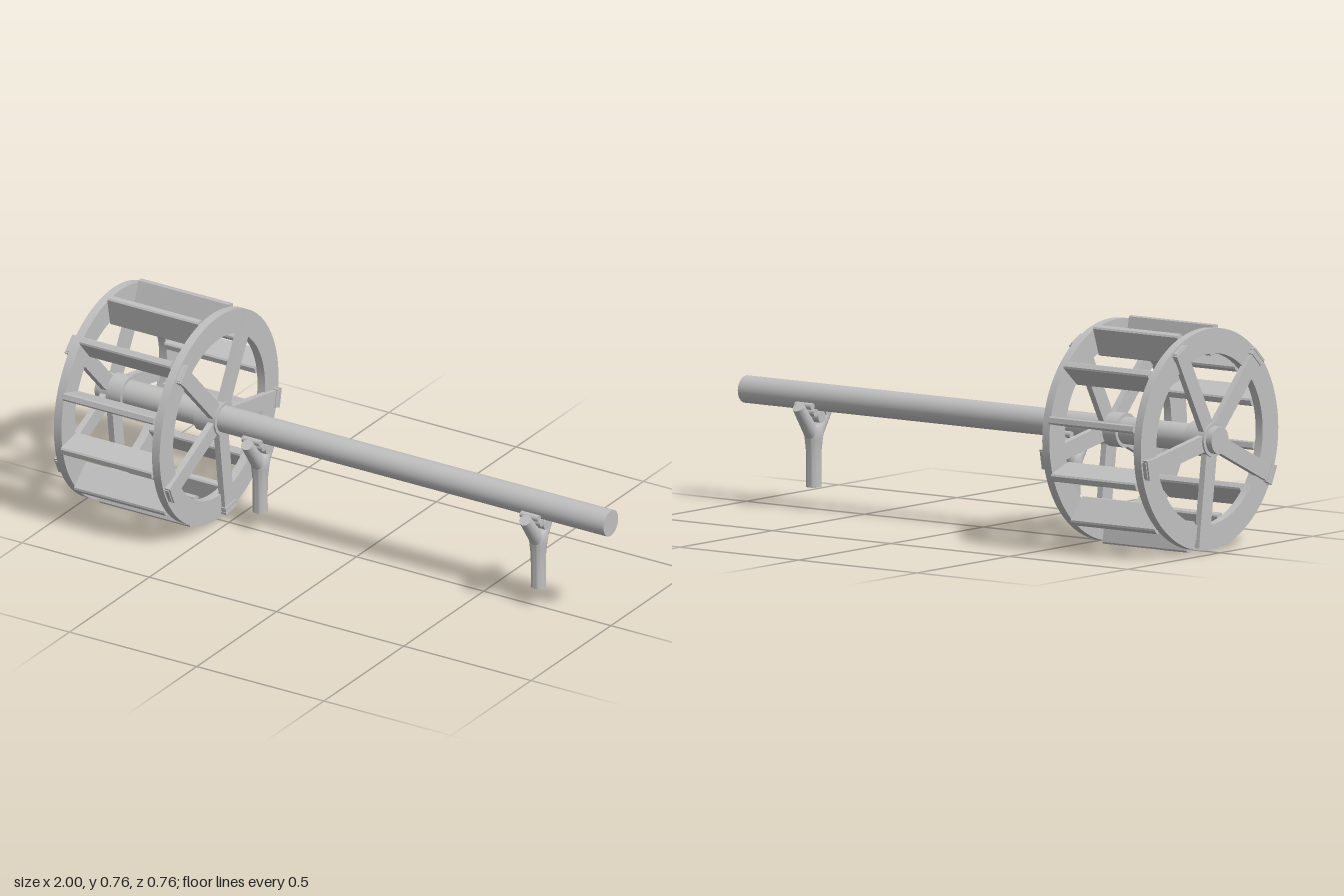
import * as THREE from 'three';
import { toCreasedNormals } from 'three/addons/utils/BufferGeometryUtils.js';

const AXLE_Y = 0.384;
const rad = THREE.MathUtils.degToRad;

export function createModel() {
  const model = new THREE.Group();
  model.name = 'waterWheel';
  const grey = new THREE.MeshStandardMaterial({ color: 0xc0c0c0 });
  grey.name = 'plain grey';

  const add = (parent, name, geometry, x = 0, y = 0, z = 0) => {
    const mesh = new THREE.Mesh(geometry, grey);
    mesh.name = name;
    mesh.position.set(x, y, z);
    parent.add(mesh);
    return mesh;
  };
  const rodX = (radius, length, sides = 32) =>
    new THREE.CylinderGeometry(radius, radius, length, sides).rotateZ(-Math.PI / 2);
  const pivot = (parent, name, degrees) => {
    const g = new THREE.Group();
    g.name = name;
    g.rotation.x = rad(degrees);
    parent.add(g);
    return g;
  };

  // Long axle
  add(model, 'axle', rodX(0.046, 2, 40), 0, AXLE_Y, 0);

  // Wheel, centred on the axle
  const wheel = new THREE.Group();
  wheel.name = 'wheel';
  wheel.position.set(-0.7475, AXLE_Y, 0);
  model.add(wheel);

  // Flat rims
  const rimShape = new THREE.Shape().absarc(0, 0, 0.372, 0, Math.PI * 2, false);
  rimShape.holes.push(new THREE.Path().absarc(0, 0, 0.288, 0, Math.PI * 2, true));
  const rimGeo = toCreasedNormals(
    new THREE.ExtrudeGeometry(rimShape, { depth: 0.03, bevelEnabled: false, curveSegments: 72 })
      .translate(0, 0, -0.015).rotateY(Math.PI / 2), rad(30));
  const hubGeo = rodX(0.058, 0.085);
  const spokeGeo = new THREE.BoxGeometry(0.022, 0.335, 0.056);
  const capGeo = new THREE.BoxGeometry(0.03, 0.022, 0.064);
  const capLipGeo = new THREE.BoxGeometry(0.034, 0.008, 0.068);

  for (const side of [-1, 1]) {
    add(wheel, 'rim', rimGeo, side * 0.193);
    add(wheel, 'hub', hubGeo, side * 0.186);
    // Five spokes laid on the outer face of each rim
    for (let i = 0; i < 5; i++) {
      const spoke = pivot(wheel, 'spoke', 43.5 + i * 72);
      add(spoke, 'spokeBoard', spokeGeo, side * 0.211, 0.1975, 0);
      add(spoke, 'spokeCap', capGeo, side * 0.211, 0.347, 0);
      add(spoke, 'spokeCapLip', capLipGeo, side * 0.211, 0.357, 0);
    }
  }

  // Twelve radial paddles with slightly chamfered edges
  const w = 0.0135, h = 0.053, c = 0.005;
  const paddleShape = new THREE.Shape([
    [-w, -h + c], [-w + c, -h], [w - c, -h], [w, -h + c],
    [w, h - c], [w - c, h], [-w + c, h], [-w, h - c],
  ].map(([x, y]) => new THREE.Vector2(x, y)));
  const paddleGeo = new THREE.ExtrudeGeometry(paddleShape, { depth: 0.356, bevelEnabled: false })
    .translate(0, 0, -0.178).rotateY(Math.PI / 2);
  for (let i = 0; i < 12; i++) {
    add(pivot(wheel, 'paddle', 11 + i * 30), 'paddleBoard', paddleGeo, 0, 0.33, 0);
  }

  // Forked posts carrying the axle on small rollers
  const trunkGeo = new THREE.LatheGeometry([
    [0, 0.08], [0.0255, 0.08], [0.0255, 0.08], [0.025, 0.14], [0.026, 0.2],
    [0.03, 0.24], [0.034, 0.268], [0.028, 0.285], [0, 0.293],
  ].map(([r, y]) => new THREE.Vector2(r, y)), 28);
  const trunk = toCreasedNormals(trunkGeo, rad(40));
  const from = new THREE.Vector3(0, 0.26, 0.01);
  const to = new THREE.Vector3(0, 0.357, 0.083);
  const branchDir = to.clone().sub(from);
  const branchGeo = new THREE.CylinderGeometry(0.021, 0.026, branchDir.length(), 24);

  for (const x of [-0.378, 0.715]) {
    const post = new THREE.Group();
    post.name = 'forkedPost';
    post.position.x = x;
    model.add(post);
    add(post, 'trunk', trunk);
    add(post, 'lowerRoller', rodX(0.02, 0.07, 24), 0, 0.318, 0);
    for (const s of [-1, 1]) {
      const branch = add(post, 'branch', branchGeo, 0, (from.y + to.y) / 2, s * (from.z + to.z) / 2);
      branch.rotation.x = s * Math.atan2(branchDir.z, branchDir.y);
      add(post, 'middleRoller', rodX(0.013, 0.07, 20), 0, 0.335, s * 0.033);
      add(post, 'upperRoller', rodX(0.0115, 0.07, 20), 0, 0.358, s * 0.051);
    }
  }
  return model;
}
